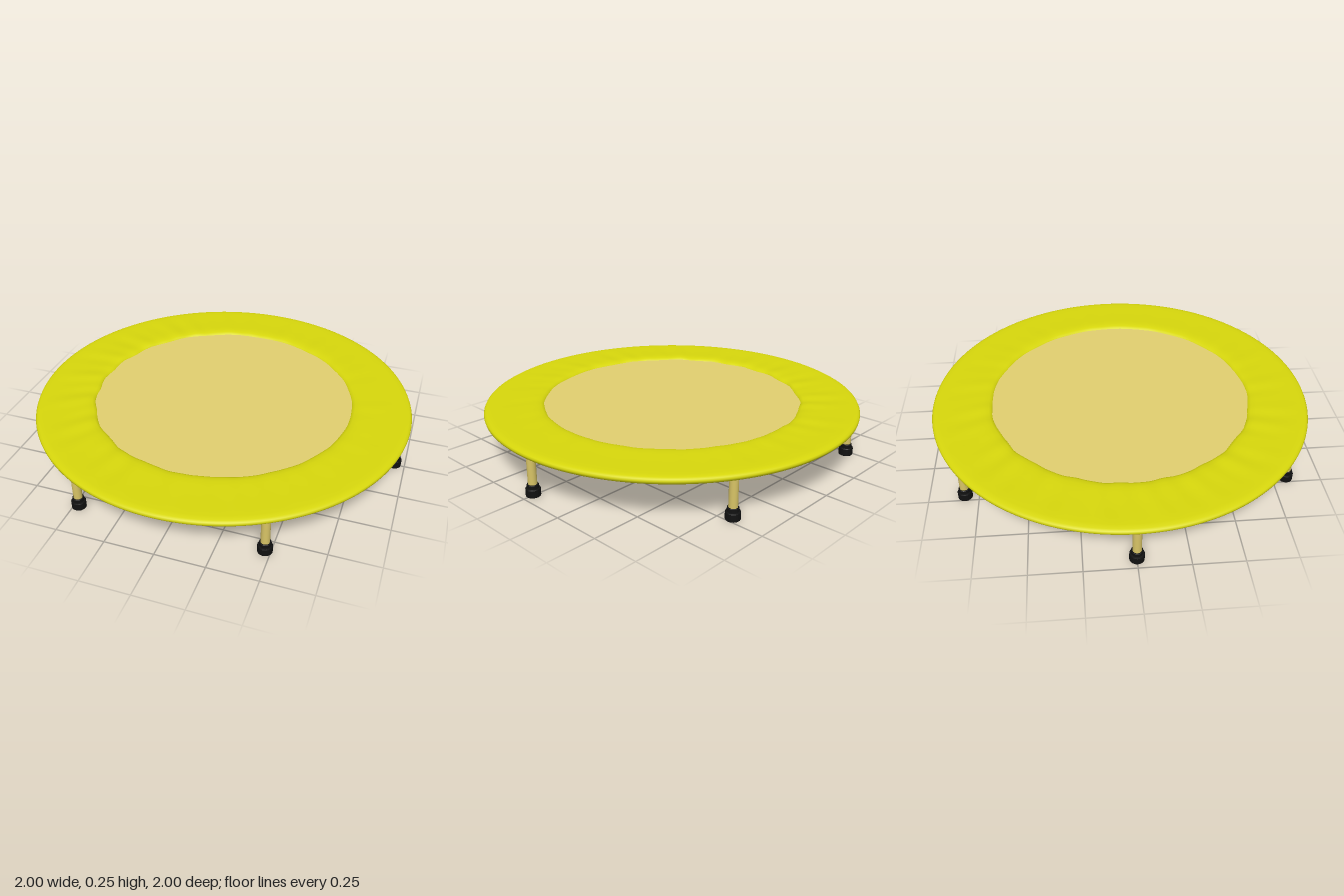
import * as THREE from 'three';

const material = (color, side = THREE.FrontSide) => new THREE.MeshStandardMaterial({ color, side });

function addMesh(parent, name, geometry, mat) {
  const mesh = new THREE.Mesh(geometry, mat);
  mesh.name = name;
  parent.add(mesh);
  return mesh;
}

// Padded cover: a lathed sleeve, open below, with puckered fabric on top
function padGeometry() {
  const profile = [
    [0.94, 0.218], [0.955, 0.212], [0.975, 0.21], [0.99, 0.214], [0.998, 0.222], [1, 0.231],
    [0.996, 0.239], [0.985, 0.245], [0.96, 0.247], [0.92, 0.247], [0.88, 0.247], [0.84, 0.247],
    [0.8, 0.248], [0.76, 0.249], [0.73, 0.249], [0.705, 0.246], [0.692, 0.24], [0.688, 0.234],
  ].map(([r, y]) => new THREE.Vector2(r, y));
  const geometry = new THREE.LatheGeometry(profile, 240);
  const pos = geometry.attributes.position;
  for (let i = 0; i < pos.count; i++) {
    const x = pos.getX(i), y = pos.getY(i), z = pos.getZ(i);
    const r = Math.hypot(x, z), a = Math.atan2(z, x);
    // folds fade out towards the rim and are strongest on the -x side
    const fade = THREE.MathUtils.clamp((0.97 - r) / 0.15, 0, 1) * (y > 0.23 ? 1 : 0);
    const strength = 0.6 - 0.4 * Math.cos(a);
    const fold = Math.sin(23 * a + 2 * Math.sin(3 * a)) + 0.7 * Math.sin(41 * a + 9 * r + 1);
    pos.setY(i, y + 0.0018 * fade * strength * fold);
    // slightly uneven inner hem
    const hem = THREE.MathUtils.clamp((0.76 - r) / 0.07, 0, 1) * strength;
    const k = 1 + 0.005 * hem * Math.sin(17 * a + 2 * Math.sin(2 * a)) / r;
    pos.setX(i, x * k);
    pos.setZ(i, z * k);
  }
  geometry.computeVertexNormals();
  // match normals across the lathe seam
  const n = geometry.attributes.normal, rows = profile.length, last = n.count - rows;
  for (let j = 0; j < rows; j++) {
    const v = new THREE.Vector3().fromBufferAttribute(n, j)
      .add(new THREE.Vector3().fromBufferAttribute(n, last + j)).normalize();
    n.setXYZ(j, v.x, v.y, v.z);
    n.setXYZ(last + j, v.x, v.y, v.z);
  }
  return geometry;
}

// Jumping mat: a square sheet whose corners are rounded off inside the rim
function matGeometry() {
  const points = [];
  for (let i = 0; i < 96; i++) {
    const a = (i / 96) * Math.PI * 2;
    const c = Math.cos(a), s = Math.sin(a);
    const r = Math.min(0.91, 0.78 / Math.max(Math.abs(c), 1e-6), 0.81 / Math.max(Math.abs(s), 1e-6));
    points.push(new THREE.Vector2(r * c, r * s));
  }
  return new THREE.ShapeGeometry(new THREE.Shape(points)).rotateX(-Math.PI / 2);
}

// Rubber foot: a wide base with a narrower collar
function footGeometry() {
  const profile = [
    [0, 0], [0.033, 0], [0.036, 0.003], [0.036, 0.038], [0.034, 0.042],
    [0.028, 0.043], [0.028, 0.06], [0.026, 0.062], [0, 0.062],
  ].map(([r, y]) => new THREE.Vector2(r, y));
  // separate faces keep the steps crisp
  const geometry = new THREE.LatheGeometry(profile, 20).toNonIndexed();
  geometry.computeVertexNormals();
  return geometry;
}

export function createModel() {
  const model = new THREE.Group();
  model.name = 'trampoline';
  const yellow = material(0xd8d80c, THREE.DoubleSide);
  const sand = material(0xe2d070, THREE.DoubleSide);
  const tan = material(0xd8c466);
  const black = material(0x111111);

  addMesh(model, 'safetyPad', padGeometry(), yellow);
  addMesh(model, 'jumpingMat', matGeometry(), sand).position.y = 0.235;

  // Six legs evenly spaced beneath the rim
  const legGeo = new THREE.CylinderGeometry(0.022, 0.022, 0.18, 24);
  const footGeo = footGeometry();
  for (let i = 0; i < 6; i++) {
    const a = (i * Math.PI) / 3;
    const leg = new THREE.Group();
    leg.name = `leg${i + 1}`;
    leg.position.set(0.945 * Math.cos(a), 0, 0.945 * Math.sin(a));
    leg.rotation.y = -a;
    addMesh(leg, 'legTube', legGeo, tan).position.y = 0.145;
    addMesh(leg, 'rubberFoot', footGeo, black);
    model.add(leg);
  }
  return model;
}
